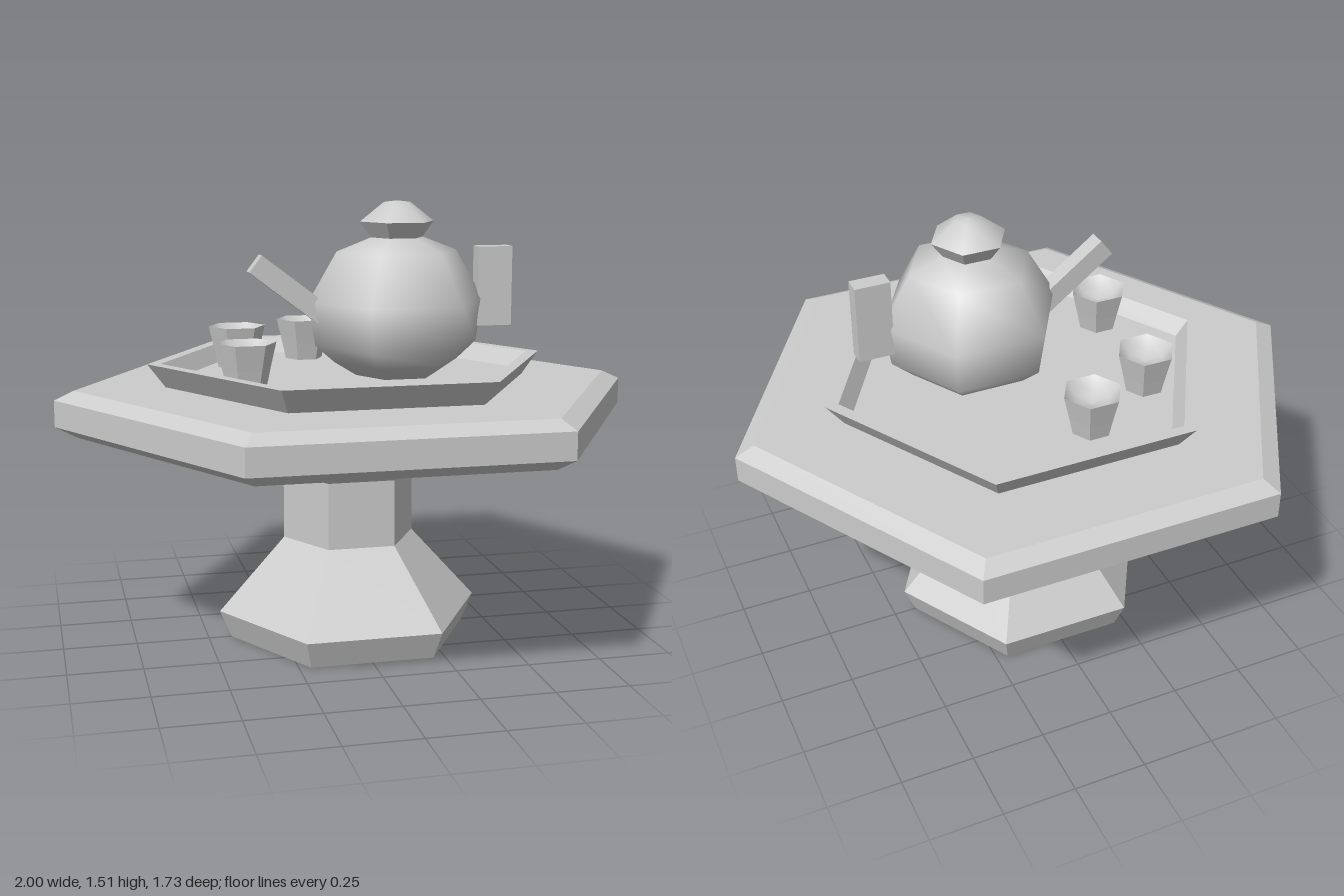
import * as THREE from 'three';

const stone = new THREE.MeshStandardMaterial({ color: 0xcccccc });
stone.name = 'pale grey';

// six-sided turned shape with corners on the x axis; profile is [radius, y] from bottom to top
function hexTurned(name, profile, smooth = false) {
  const points = profile.map(([r, y]) => new THREE.Vector2(r, y));
  let geometry = new THREE.LatheGeometry(points, 6, Math.PI / 2);
  if (!smooth) {
    geometry = geometry.toNonIndexed();
    geometry.computeVertexNormals();
  }
  const mesh = new THREE.Mesh(geometry, stone);
  mesh.name = name;
  return mesh;
}

function block(name, size, position, tilt = 0) {
  const mesh = new THREE.Mesh(new THREE.BoxGeometry(...size), stone);
  mesh.name = name;
  mesh.position.set(...position);
  mesh.rotation.z = tilt;
  return mesh;
}

function createTeapot() {
  const teapot = new THREE.Group();
  teapot.name = 'teapot';
  teapot.position.set(0.15, 0, 0.075);
  teapot.add(
    hexTurned('teapotBody', [
      [0, 0.92], [0.14, 0.925], [0.216, 0.972], [0.282, 1.03],
      [0.306, 1.177], [0.208, 1.345], [0.09, 1.39],
    ], true),
    // lid: flared collar below, soft dome above
    hexTurned('lidCollar', [[0, 1.385], [0.09, 1.39], [0.128, 1.443]]),
    hexTurned('lidDome', [[0.128, 1.443], [0.046, 1.507], [0, 1.512]], true),
    block('spout', [0.34, 0.07, 0.06], [-0.351, 1.208, 0], -0.65),
    block('handle', [0.12, 0.27, 0.06], [0.34, 1.22, 0]),
  );
  return teapot;
}

function createCup(x, z) {
  const cup = new THREE.Group();
  cup.name = 'cup';
  cup.position.set(x, 0, z);
  cup.add(
    hexTurned('cupOutside', [[0, 0.92], [0.067, 0.92], [0.08, 0.98], [0.1, 1.065]]),
    // shallow hollow inside the rim
    hexTurned('cupInside', [[0.1, 1.065], [0.06, 1.025], [0, 1.015]], true),
  );
  return cup;
}

export function createModel() {
  const model = new THREE.Group();
  model.name = 'teaTable';
  model.add(
    hexTurned('pedestal', [
      [0, 0], [0.42, 0], [0.46, 0.095], [0.23, 0.35], [0.23, 0.58], [0.39, 0.735],
    ]),
    hexTurned('tableTop', [
      [0, 0.735], [0.925, 0.735], [1, 0.775], [1, 0.865], [0.935, 0.895], [0, 0.895],
    ]),
    hexTurned('tray', [
      [0.63, 0.895], [0.69, 0.975], [0.645, 0.975], [0.602, 0.92], [0, 0.92],
    ]),
    createTeapot(),
  );
  for (const [x, z] of [[-0.35, -0.235], [-0.08, -0.385], [-0.385, 0.19]]) {
    model.add(createCup(x, z));
  }
  return model;
}
